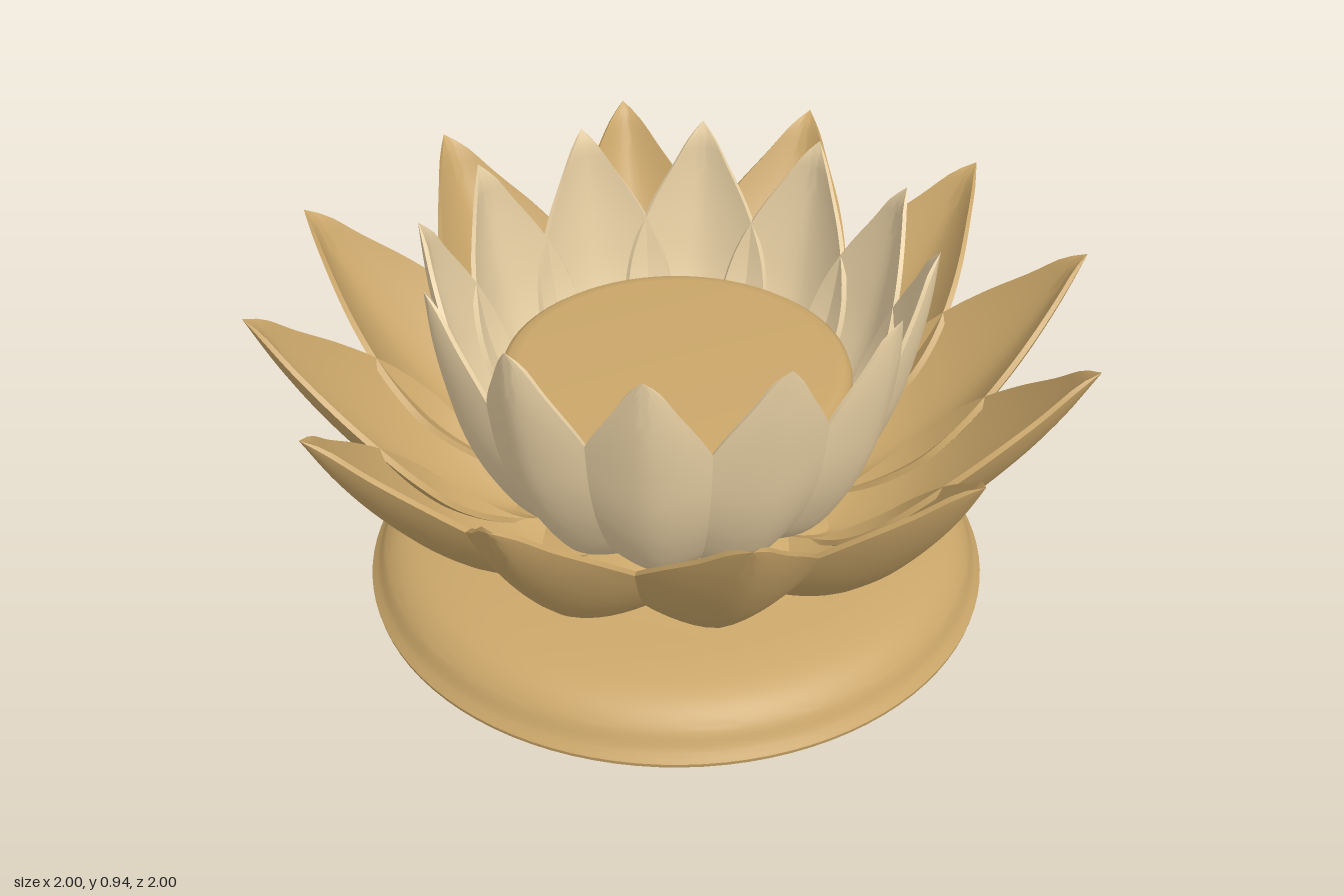
import * as THREE from 'three';
import { toCreasedNormals } from 'three/addons/utils/BufferGeometryUtils.js';

const gold = new THREE.MeshStandardMaterial({ color: 0xcaa669 });
const cream = new THREE.MeshStandardMaterial({ color: 0xe8d0a4 });

// Smooth curve through [x, y] pairs
const curve = (pts) => new THREE.CatmullRomCurve3(pts.map(([a, b]) => new THREE.Vector3(a, b, 0)), false, 'centripetal');

function lathe(name, pts, material) {
  const geo = new THREE.LatheGeometry(pts.map(([r, y]) => new THREE.Vector2(r, y)), 96);
  const mesh = new THREE.Mesh(toCreasedNormals(geo, 0.7), material);
  mesh.name = name;
  return mesh;
}

// Half width along the petal, as a share of the widest point
const WIDTH = [[0, 0.34], [0.12, 0.52], [0.25, 0.79], [0.38, 0.97], [0.48, 1], [0.6, 0.92], [0.74, 0.69], [0.87, 0.38], [0.95, 0.18], [1, 0]];
function widthAt(t) {
  let i = 1;
  while (i < WIDTH.length - 1 && WIDTH[i][0] < t) i++;
  const p = (k) => WIDTH[Math.min(Math.max(k, 0), WIDTH.length - 1)];
  const slope = (k) => (p(k + 1)[1] - p(k - 1)[1]) / (p(k + 1)[0] - p(k - 1)[0]);
  const [t0, w0] = p(i - 1), [t1, w1] = p(i), h = t1 - t0, s = (t - t0) / h;
  return Math.max(0, w0 * (1 + 2 * s) * (1 - s) ** 2 + slope(i - 1) * h * s * (1 - s) ** 2
    + w1 * s * s * (3 - 2 * s) + slope(i) * h * s * s * (s - 1));
}

// Cupped solid petal growing towards +z along a rib of [radius, height] points
function petalGeometry(rib, halfWidth, cup, thickness) {
  const path = curve(rib), N = 36, M = 16, ring = 2 * (M + 1);
  const pos = [], idx = [];
  for (let i = 0; i <= N; i++) {
    const t = i / N, c = path.getPointAt(t), d = path.getTangentAt(t);
    const w = halfWidth * widthAt(t), th = thickness * Math.min(1, w / 0.03);
    for (let j = 0; j < ring; j++) {
      const inner = j > M;
      const u = (inner ? 2 * M + 1 - j : j) / M * 2 - 1;
      const lift = cup * w * Math.abs(u) ** 1.6 + (inner ? th * (1 - 0.4 * u * u) : 0);
      pos.push(w * u * (inner ? 0.95 : 1), c.y + d.x * lift, c.x - d.y * lift);
    }
  }
  for (let i = 0; i < N; i++) for (let j = 0; j < ring; j++) {
    const k = (j + 1) % ring, a = i * ring, b = a + ring;
    idx.push(a + j, a + k, b + k, a + j, b + k, b + j);
  }
  const geo = new THREE.BufferGeometry();
  geo.setAttribute('position', new THREE.Float32BufferAttribute(pos, 3));
  geo.setIndex(idx);
  return toCreasedNormals(geo, 0.8);
}

function petalRing(name, geo, material, offset) {
  const g = new THREE.Group();
  g.name = name + 's';
  for (let i = 0; i < 12; i++) {
    const petal = new THREE.Mesh(geo, material);
    petal.name = name;
    petal.rotation.y = offset + i * Math.PI / 6;
    g.add(petal);
  }
  return g;
}

export function createModel() {
  const model = new THREE.Group();
  model.name = 'lotusPedestal';

  // Domed round foot with a small lip and a rounded underside
  const dome = curve([[0.775, 0.03], [0.757, 0.055], [0.735, 0.1], [0.69, 0.14], [0.6, 0.17], [0.42, 0.2], [0.3, 0.25]])
    .getPoints(30).map((p) => [p.x, p.y]);
  model.add(lathe('base', [[0, 0], [0.7, 0], [0.735, 0.004], [0.76, 0.011], [0.773, 0.02], ...dome, [0, 0.25]], gold));

  // Flat-topped seat in the middle
  model.add(lathe('seat', [[0, 0.18], [0.3, 0.18], [0.32, 0.3], [0.36, 0.41], [0.405, 0.49], [0.424, 0.54],
    [0.425, 0.572], [0.42, 0.589], [0.405, 0.6], [0.38, 0.602], [0, 0.602]], gold));

  // Wide open outer petals
  const outer = petalGeometry([[0.3, 0.17], [0.45, 0.2], [0.6, 0.28], [0.72, 0.39], [0.84, 0.54], [0.93, 0.68], [1, 0.815]],
    0.225, 0.5, 0.018);
  model.add(petalRing('outerPetal', outer, gold, 0));

  // Upright inner petals, set between the outer ones
  const inner = petalGeometry([[0.3, 0.21], [0.4, 0.28], [0.48, 0.4], [0.535, 0.53], [0.57, 0.67], [0.594, 0.81], [0.606, 0.945]],
    0.185, 0.4, 0.016);
  model.add(petalRing('innerPetal', inner, cream, Math.PI / 12));

  return model;
}
